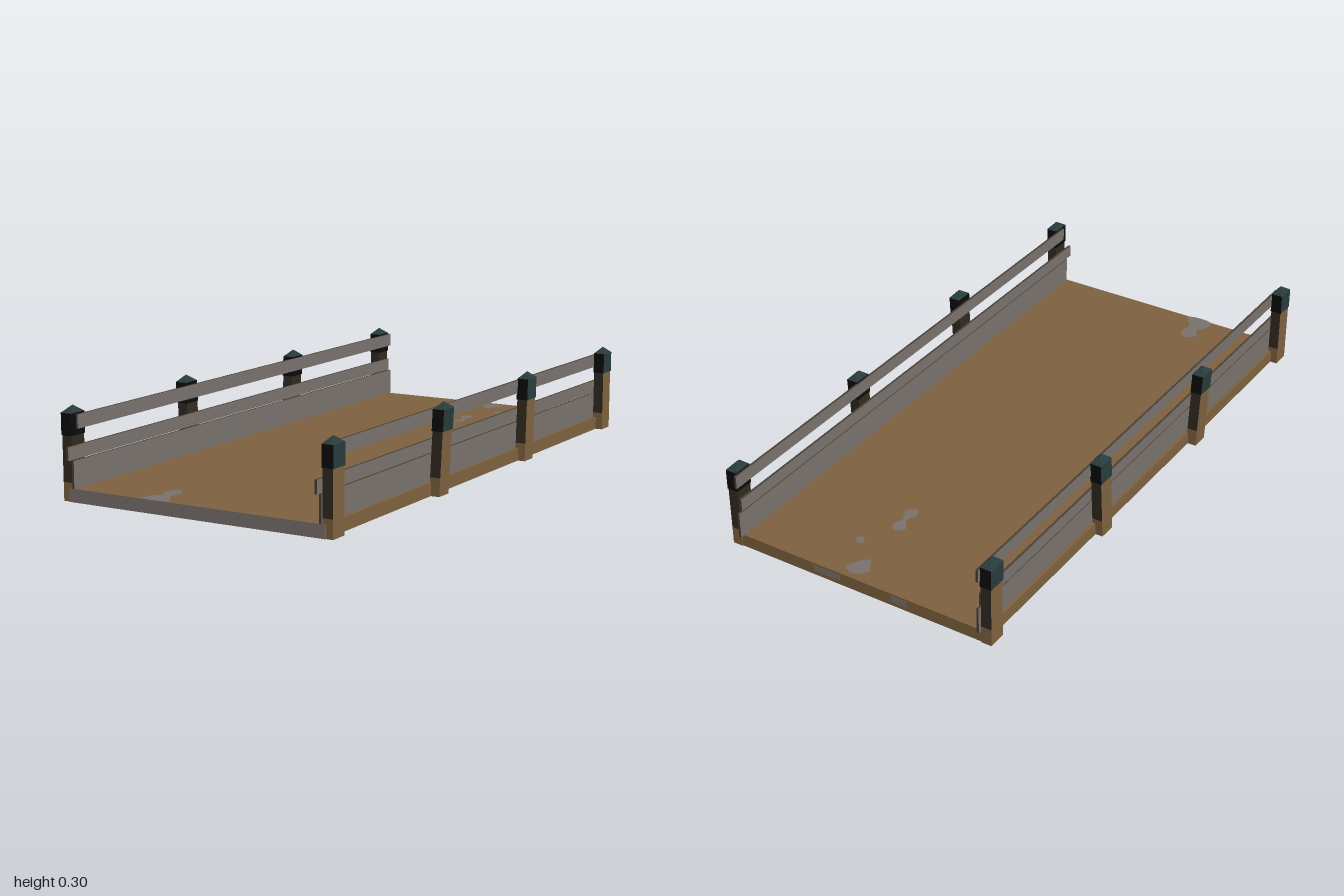
import * as THREE from 'three';

const mat = (name, color) => {
  const m = new THREE.MeshStandardMaterial({ color });
  m.name = name;
  return m;
};

export function createModel() {
  const model = new THREE.Group();
  model.name = 'woodenBridge';

  const wood = mat('brown wood', 0x7c603e);
  const grey = mat('weathered grey', 0x78706c);
  const dark = mat('dark brown', 0x30291e);
  const edge = mat('rail edge brown', 0x493f36);
  const teal = mat('dark teal', 0x283b3b);
  const black = mat('black', 0x0a0b0a);

  const add = (parent, name, geometry, material, x = 0, y = 0, z = 0) => {
    const mesh = new THREE.Mesh(geometry, material);
    mesh.name = name;
    mesh.position.set(x, y, z);
    parent.add(mesh);
    return mesh;
  };

  // Deck in two lengths, with a differently toned underside on each
  const deckPart = (name, z0, z1, under, front) =>
    add(model, name, new THREE.BoxGeometry(0.925, 0.043, z1 - z0),
      [wood, wood, wood, under, front, wood], 0, 0.0215, (z0 + z1) / 2);
  deckPart('deckFront', 0.27, 0.975, dark, grey);
  deckPart('deckRear', -0.985, 0.27, black, wood);

  // Worn patches on the deck, drawn as smooth closed outlines (x, z)
  const patches = [
    [[0, -0.93], [0.03, -0.965], [0.07, -0.95], [0.06, -0.91], [0.03, -0.88], [0.01, -0.91]],
    [[0.1, -0.82], [0.12, -0.828], [0.135, -0.805], [0.12, -0.795]],
    [[0.03, -0.69], [0.055, -0.715], [0.08, -0.69], [0.068, -0.65], [0.088, -0.605],
      [0.06, -0.585], [0.043, -0.61], [0.055, -0.65]],
    [[-0.18, 0.86], [-0.15, 0.83], [-0.12, 0.86], [-0.125, 0.91], [-0.09, 0.97],
      [-0.185, 0.972], [-0.185, 0.93], [-0.165, 0.9]],
  ];
  for (const points of patches) {
    const curve = new THREE.CatmullRomCurve3(
      points.map(([x, z]) => new THREE.Vector3(x, -z, 0)), true);
    const shape = new THREE.Shape(curve.getPoints(32).map(p => new THREE.Vector2(p.x, p.y)));
    add(model, 'wornPatch', new THREE.ShapeGeometry(shape).rotateX(-Math.PI / 2), grey, 0, 0.0445, 0);
  }
  // Worn patches on the back edge
  for (const [x, w] of [[0.12, 0.1], [-0.15, 0.06]])
    add(model, 'backEdgePatch', new THREE.BoxGeometry(w, 0.02, 0.002), grey, x, 0.024, -0.985);

  // Shear a post piece so that it leans as it rises
  const lean = (geometry, dx, dz) => {
    const p = geometry.attributes.position;
    for (let i = 0; i < p.count; i++) {
      const t = p.getY(i) / 0.3;
      p.setX(i, p.getX(i) + dx * t);
      p.setZ(i, p.getZ(i) + dz * t);
    }
    geometry.computeVertexNormals();
    return geometry;
  };
  const block = (w, d, y0, y1) =>
    new THREE.BoxGeometry(w, y1 - y0, d).translate(0, (y0 + y1) / 2, 0);

  // Post: x and z at the foot, then how far the top leans
  const posts = [
    [0.469, 0.94, 0.001, 0],
    [0.474, 0.308, 0.015, 0],
    [0.47, -0.31, -0.002, -0.02],
    [0.469, -0.957, 0.001, 0],
  ];
  // Rail: bottom, top, back end, front end
  const rails = [
    ['topRail', 0.228, 0.273, -1, 0.95],
    ['middleRail', 0.135, 0.178, -0.985, 1],
    ['lowerBoard', 0.042, 0.131, -1, 0.975],
  ];

  for (const side of [1, -1]) {
    const fence = new THREE.Group();
    fence.name = side > 0 ? 'leftFence' : 'rightFence';
    model.add(fence);

    for (const [x, z, dx, dz] of posts) {
      const post = new THREE.Group();
      post.name = 'post';
      post.position.set(side * x, 0, z);
      fence.add(post);
      const piece = (name, geometry, material) =>
        add(post, name, lean(geometry, side * dx, dz), material);
      // Outer face takes its own colour; the other sides share one
      const faces = (outer, inner, ends) => side > 0
        ? [outer, inner, ends, ends, ends, ends]
        : [inner, outer, ends, ends, ends, ends];

      piece('postFoot', block(0.036, 0.062, 0, 0.06), wood);
      piece('postBody', block(0.036, 0.062, 0.06, 0.21), faces(wood, dark, dark));
      piece('postCap', block(0.04, 0.066, 0.208, 0.278), faces(teal, black, black));
      const roof = new THREE.ConeGeometry(Math.SQRT1_2, 0.022, 4, 1, true)
        .rotateY(Math.PI / 4).scale(0.04, 1, 0.066).translate(0, 0.289, 0).toNonIndexed();
      piece('postCapRoof', roof, teal);
    }

    for (const [name, y0, y1, z0, z1] of rails)
      add(fence, name, new THREE.BoxGeometry(0.008, y1 - y0, z1 - z0),
        [grey, grey, edge, edge, edge, edge],
        side * 0.447, (y0 + y1) / 2, (z0 + z1) / 2);
  }
  return model;
}
